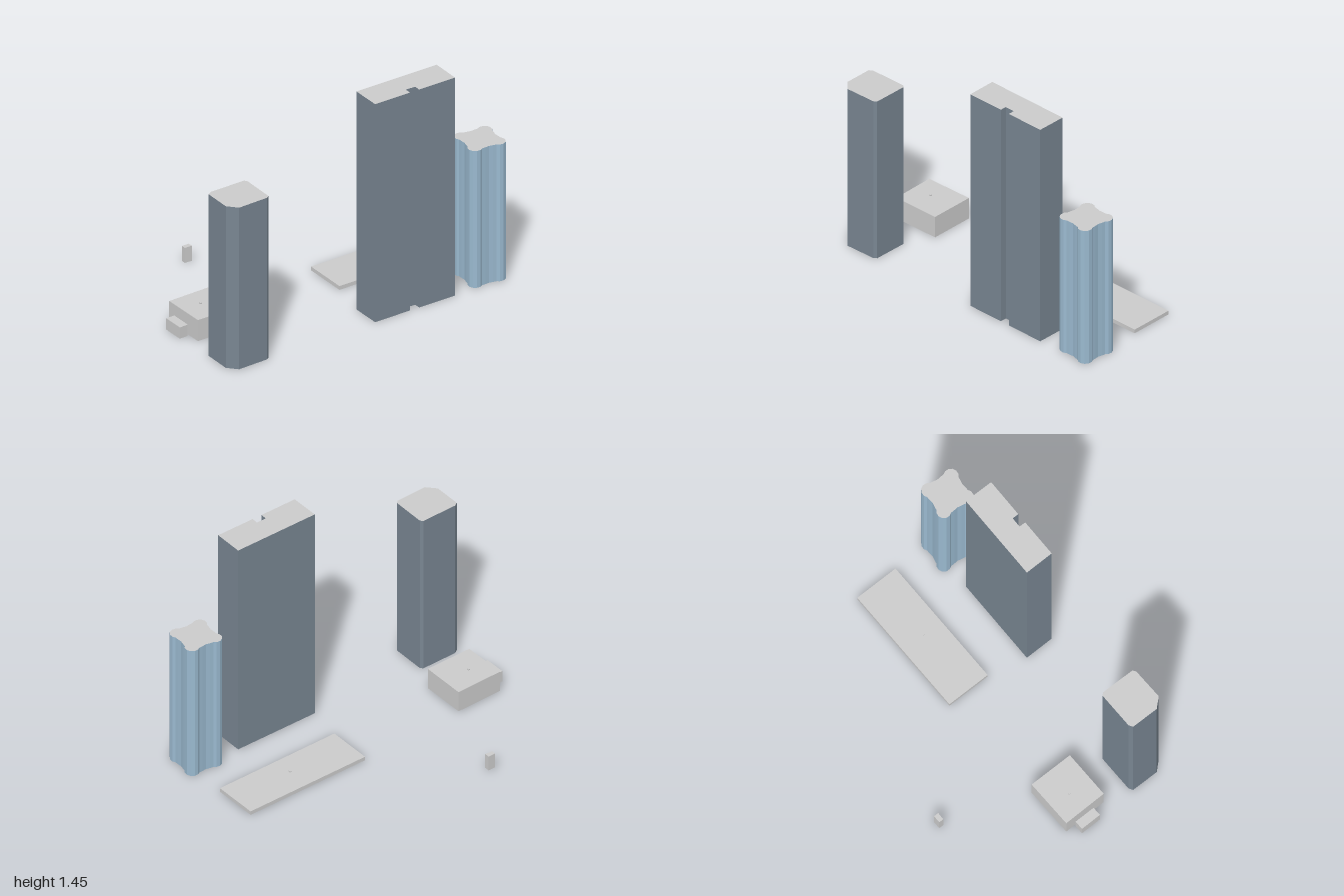
import * as THREE from 'three';

const paint = (color) => new THREE.MeshStandardMaterial({ color, side: THREE.DoubleSide, flatShading: true });

// Building shell: upright walls round a footprint of [x, z] corners, plus a flat roof, open below
function building(name, footprint, height, wallMaterial, roofMaterial) {
  let pts = footprint.map(([x, z]) => new THREE.Vector2(x, -z));
  if (THREE.ShapeUtils.isClockWise(pts)) pts = pts.reverse();

  const corners = [];
  pts.forEach((a, i) => {
    const b = pts[(i + 1) % pts.length];
    const a0 = [a.x, 0, -a.y], b0 = [b.x, 0, -b.y];
    const a1 = [a.x, height, -a.y], b1 = [b.x, height, -b.y];
    corners.push(...a0, ...b0, ...b1, ...a0, ...b1, ...a1);
  });
  const wallGeometry = new THREE.BufferGeometry();
  wallGeometry.setAttribute('position', new THREE.Float32BufferAttribute(corners, 3));
  wallGeometry.computeVertexNormals();
  const walls = new THREE.Mesh(wallGeometry, wallMaterial);
  walls.name = name + 'Walls';

  const roofGeometry = new THREE.ShapeGeometry(new THREE.Shape(pts));
  roofGeometry.rotateX(-Math.PI / 2).translate(0, height, 0);
  const roof = new THREE.Mesh(roofGeometry, roofMaterial);
  roof.name = name + 'Roof';

  const group = new THREE.Group();
  group.name = name;
  group.add(walls, roof);
  return group;
}

// Four-lobed footprint: one lobe and one shallow bay, repeated every quarter turn
function lobedFootprint(cx, cz, turn) {
  const profile = [[-21, 0.121], [-17, 0.137], [-9, 0.151], [0, 0.156], [9, 0.151], [17, 0.137],
    [21, 0.121], [32, 0.111], [45, 0.104], [58, 0.111]];
  const pts = [];
  for (let k = 0; k < 4; k++) {
    for (const [deg, r] of profile) {
      const a = THREE.MathUtils.degToRad(deg + turn + 90 * k);
      pts.push([cx + r * Math.cos(a), cz + r * Math.sin(a)]);
    }
  }
  return pts;
}

export function createModel() {
  const model = new THREE.Group();
  model.name = 'cityBlock';
  const grey = paint(0xcccccc);
  const slate = paint(0x788591);
  const blue = paint(0x9ab9cf);

  // Towers
  model.add(building('tallTower', [[0.56, -0.43], [0.72, -0.33], [0.585, -0.115], [0.55, -0.137],
    [0.515, -0.083], [0.55, -0.06], [0.42, 0.149], [0.26, 0.052]], 1.45, slate, grey));
  model.add(building('cornerTower', [[-0.185, 0.675], [-0.165, 0.671], [0.02, 0.787], [0.022, 0.81],
    [-0.08, 0.985], [-0.158, 1], [-0.308, 0.907], [-0.308, 0.878]], 1.075, slate, grey));
  model.add(building('lobedTower', lobedFootprint(0.755, -0.612, -8.5), 0.91, blue, grey));

  // Low buildings
  model.add(building('lowHall', [[0.275, -1], [0.52, -0.85], [0.075, -0.125], [-0.17, -0.275]], 0.025, grey, grey));
  model.add(building('podium', [[-0.52, 0.355], [-0.275, 0.505], [-0.435, 0.77], [-0.68, 0.625]], 0.14, grey, grey));
  model.add(building('annex', [[-0.63, 0.665], [-0.515, 0.735], [-0.543, 0.785], [-0.66, 0.715]], 0.075, grey, grey));
  model.add(building('kiosk', [[-0.88, -0.121], [-0.853, -0.105], [-0.88, -0.064], [-0.905, -0.08]], 0.1, grey, grey));

  // Tiny roof vents
  for (const [x, y, z] of [[-0.5, 0.143, 0.58], [0.19, 0.028, -0.56]]) {
    const vent = new THREE.Mesh(new THREE.BoxGeometry(0.012, 0.008, 0.012), grey);
    vent.position.set(x, y, z);
    vent.rotation.y = -Math.PI / 6;
    vent.name = 'roofVent';
    model.add(vent);
  }
  return model;
}
